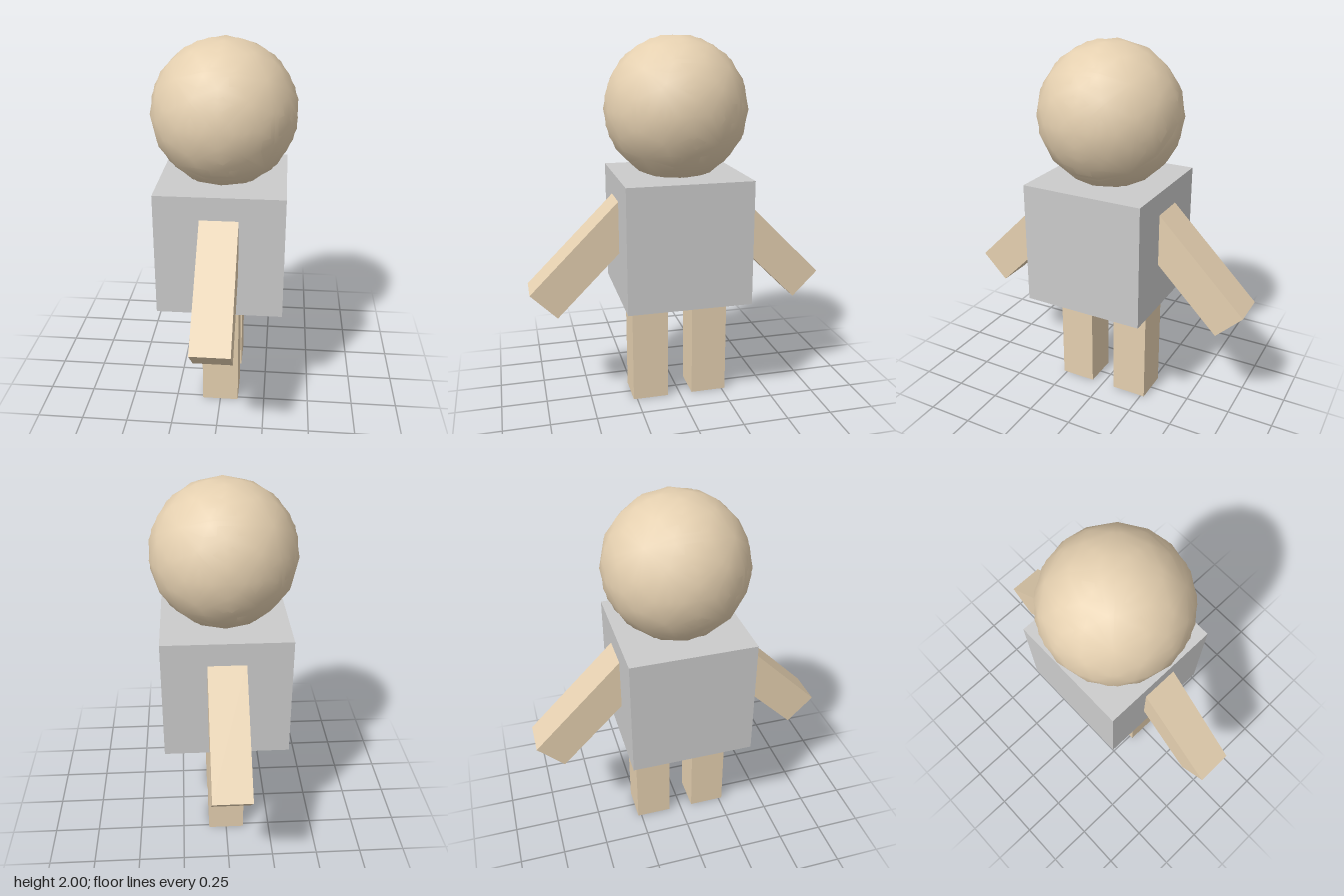
import * as THREE from 'three';

const skin = new THREE.MeshStandardMaterial({ color: 0xe5d0b0 });
const grey = new THREE.MeshStandardMaterial({ color: 0xcccccc });

function add(parent, name, geometry, material, x, y, z) {
  const mesh = new THREE.Mesh(geometry, material);
  mesh.name = name;
  mesh.position.set(x, y, z);
  parent.add(mesh);
  return mesh;
}

export function createModel() {
  const model = new THREE.Group();
  model.name = 'figure';

  // Cube torso
  add(model, 'torso', new THREE.BoxGeometry(0.67, 0.67, 0.67), grey, 0, 0.95, 0);

  // Head: two coarse smooth balls, the second a quarter turn round
  const head = new THREE.Group();
  head.name = 'head';
  head.position.y = 1.625;
  model.add(head);
  const ball = new THREE.IcosahedronGeometry(0.383, 2);
  add(head, 'headBall', ball, skin, 0, 0, 0);
  add(head, 'headBallTurned', ball, skin, 0, 0, 0).rotation.y = Math.PI / 2;

  // Arms and legs, one pair member on each side in z
  const legGeometry = new THREE.BoxGeometry(0.2, 0.67, 0.2);
  const armGeometry = new THREE.BoxGeometry(0.2, 0.7, 0.2);
  for (const side of [1, -1]) {
    const end = side > 0 ? 'front' : 'back';
    add(model, end + 'Leg', legGeometry, skin, 0, 0.335, side * 0.17);
    const arm = add(model, end + 'Arm', armGeometry, skin, 0, 0.857, side * 0.497);
    arm.rotation.x = -side * Math.PI / 4;
  }

  return model;
}
